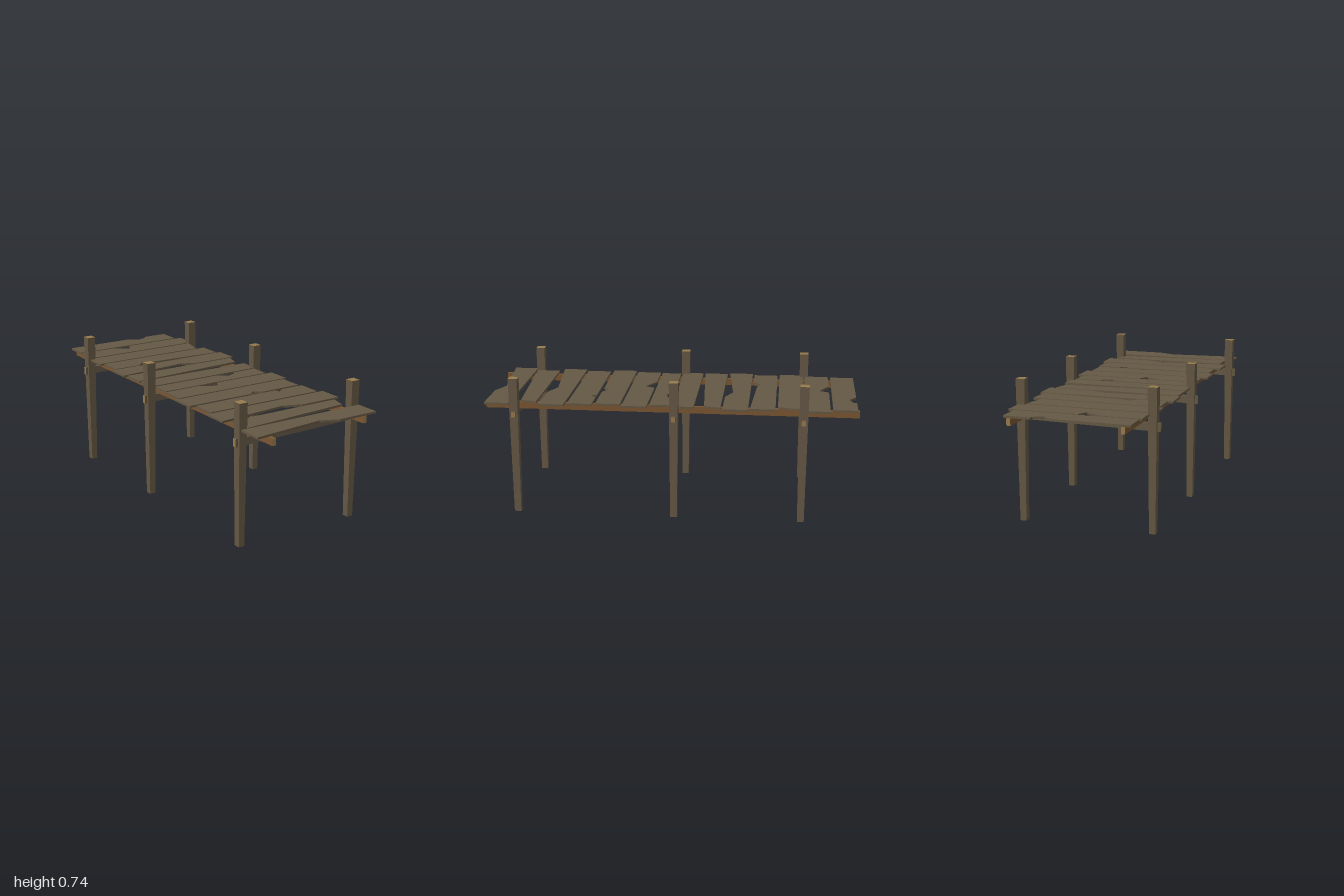
import * as THREE from 'three';

const weathered = new THREE.MeshStandardMaterial({ color: 0x655844 });
weathered.name = 'weathered wood';
const cutWood = new THREE.MeshStandardMaterial({ color: 0x967a4c });
cutWood.name = 'cut end grain';
const brown = new THREE.MeshStandardMaterial({ color: 0x7b5633 });
brown.name = 'brown timber';

const TOP = 0.612, THICK = 0.011;

// Plank outlines: corner points as [x, z], starting at the back left
const rect = (x0, x1, z0, z1) => [[x0, z0], [x1, z0], [x1, z1], [x0, z1]];
const backChipped = (z0, z1) => [
  [-0.325, z0], [0.075, z0], [0.125, z0 + 0.038], [0.178, z0 + 0.018], [0.183, z0], [0.325, z0],
  [0.325, z1], [-0.325, z1]];
const backNotched = (z0, z1) => [
  [-0.333, z0], [-0.13, z0], [-0.035, z0 + 0.052], [-0.007, z0], [0.36, z0], [0.36, z1], [-0.333, z1]];
const frontWorn = (z0, z1) => [
  [-0.36, z0], [0.37, z0], [0.37, z1], [0.135, z1], [0.04, z1 - 0.04], [-0.36, z1]];
const slanted = (x0, x1, z0, z1) => [
  [x0, z0], [x1, z0], [x1 - 0.023, z1 - 0.044], [x0, z1]];

const planks = [
  backChipped(-0.99, -0.862),
  backNotched(-0.848, -0.718),
  [[-0.355, -0.705], [0.33, -0.705], [0.3, -0.576], [-0.355, -0.576]],
  [[-0.333, -0.564], [0.348, -0.564], [0.348, -0.432], [-0.085, -0.455], [-0.14, -0.474], [-0.178, -0.432], [-0.333, -0.432]],
  frontWorn(-0.422, -0.29),
  slanted(-0.344, 0.342, -0.278, -0.148),
  rect(-0.344, 0.344, -0.138, -0.024),
  backChipped(-0.01, 0.097),
  backNotched(0.108, 0.24),
  [[-0.36, 0.252], [0.333, 0.252], [0.333, 0.383], [0.1, 0.383], [0.06, 0.355], [0.045, 0.355], [0.025, 0.383], [-0.36, 0.383]],
  [[-0.331, 0.4], [0.165, 0.4], [0.175, 0.43], [0.2, 0.415], [0.21, 0.4], [0.344, 0.4], [0.344, 0.532], [-0.331, 0.532]],
  frontWorn(0.546, 0.678),
  slanted(-0.318, 0.325, 0.7, 0.83),
  frontWorn(0.838, 0.97),
];

function addMesh(group, geometry, material, name) {
  const mesh = new THREE.Mesh(geometry, material);
  mesh.name = name;
  group.add(mesh);
  return mesh;
}

// Square post, narrower at the foot, with a pale sawn top
function postGeometry() {
  const h = 0.743;
  const g = new THREE.BoxGeometry(0.048, h, 0.048).translate(0, h / 2, 0);
  const p = g.attributes.position;
  for (let i = 0; i < p.count; i++) {
    if (p.getY(i) < 0.01) {
      p.setX(i, p.getX(i) * 0.69);
      p.setZ(i, p.getZ(i) * 0.75);
    }
  }
  g.computeVertexNormals();
  return g;
}

// Cross beam, level on top and thinner towards the left
function beamGeometry() {
  const g = new THREE.BoxGeometry(0.766, 0.042, 0.022).translate(0, 0.544, 0);
  const p = g.attributes.position;
  for (let i = 0; i < p.count; i++) {
    if (p.getX(i) > 0 && p.getY(i) < 0.54) p.setY(i, 0.537);
  }
  g.computeVertexNormals();
  return g;
}

export function createModel() {
  const model = new THREE.Group();
  model.name = 'woodenPier';

  // Deck planks
  const deck = new THREE.Group();
  deck.name = 'deck';
  model.add(deck);
  for (const outline of planks) {
    const shape = new THREE.Shape(outline.map(([x, z]) => new THREE.Vector2(x, z)));
    const g = new THREE.ExtrudeGeometry(shape, { depth: THICK, bevelEnabled: false });
    g.rotateX(Math.PI / 2).translate(0, TOP, 0);
    addMesh(deck, g, weathered, 'plank');
  }

  // Long stringers under the deck
  for (const [name, x, z0, z1] of [['rightStringer', -0.286, -0.99, 1], ['leftStringer', 0.293, -1, 0.975]]) {
    const g = new THREE.BoxGeometry(0.021, 0.036, z1 - z0).translate(x, 0.583, (z0 + z1) / 2);
    addMesh(model, g, [brown, brown, brown, brown, cutWood, cutWood], name);
  }

  // Three trestles, each with two posts and a cross beam
  const post = postGeometry(), beam = beamGeometry();
  for (const z of [0.813, -0.036, -0.712]) {
    const trestle = new THREE.Group();
    trestle.name = 'trestle';
    trestle.position.z = z;
    model.add(trestle);
    for (const [name, x] of [['rightPost', -0.348], ['leftPost', 0.346]]) {
      addMesh(trestle, post, [weathered, weathered, cutWood, weathered, weathered, weathered], name).position.x = x;
    }
    addMesh(trestle, beam, [cutWood, cutWood, weathered, weathered, weathered, weathered], 'crossBeam');
  }
  return model;
}
